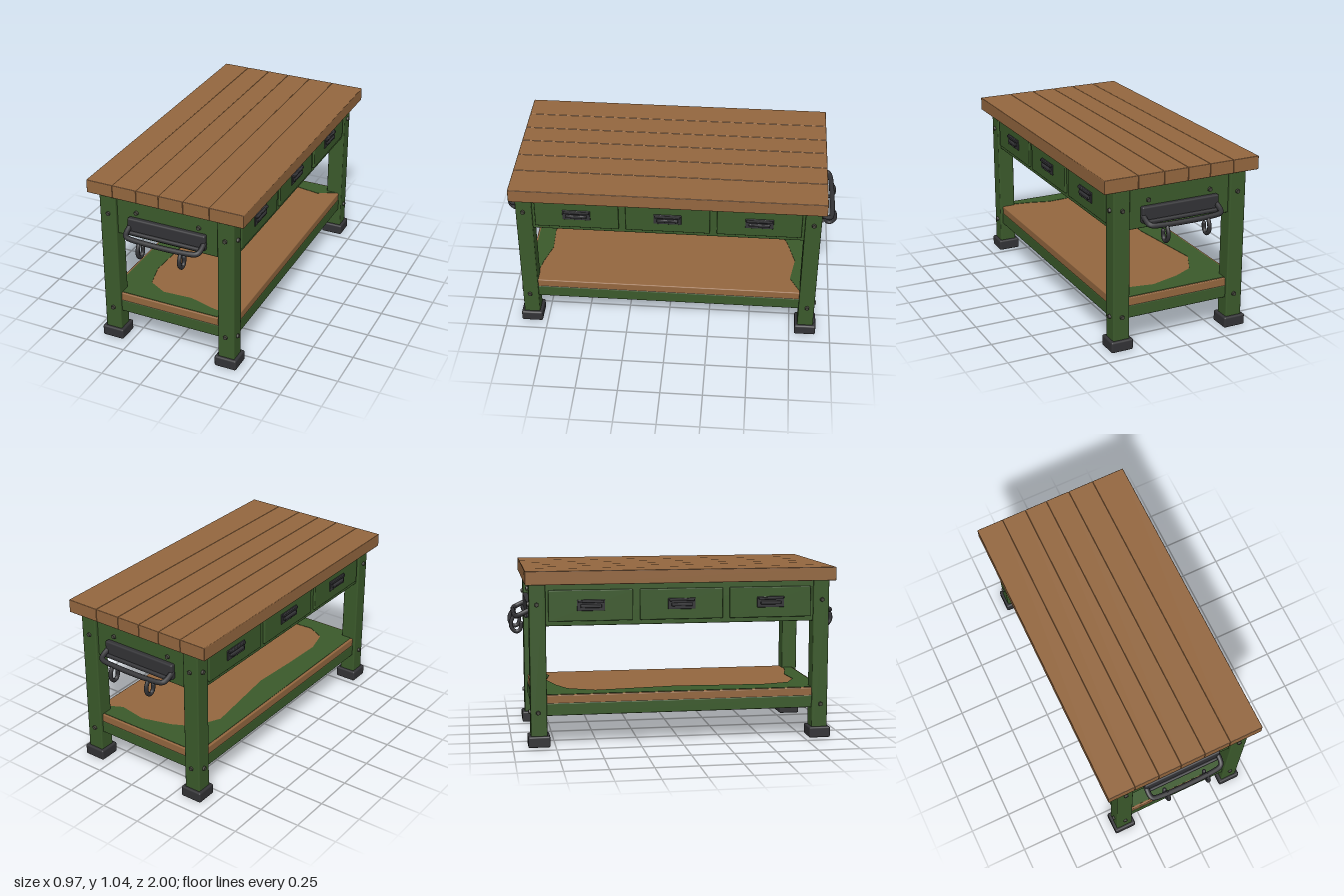
import * as THREE from 'three';
import { RoundedBoxGeometry } from 'three/addons/geometries/RoundedBoxGeometry.js';

const material = (name, color) => {
  const m = new THREE.MeshStandardMaterial({ color });
  m.name = name;
  return m;
};

export function createModel() {
  const wood = material('wood', 0x94673f);
  const paint = material('green paint', 0x3b5a2b);
  const metal = material('dark metal', 0x333336);
  const boltMetal = material('bolt metal', 0x45463c);

  const model = new THREE.Group();
  model.name = 'workbench';

  const add = (parent, name, geometry, mat) => {
    const mesh = new THREE.Mesh(geometry, mat);
    mesh.name = name;
    parent.add(mesh);
    return mesh;
  };
  // Box given by its min and max corners, with softened edges
  const box = (parent, name, mat, [x0, y0, z0], [x1, y1, z1], r = 0.006) => {
    const mesh = add(parent, name, new RoundedBoxGeometry(x1 - x0, y1 - y0, z1 - z0, 2, r), mat);
    mesh.position.set((x0 + x1) / 2, (y0 + y1) / 2, (z0 + z1) / 2);
    return mesh;
  };
  const group = (name, turn = 0) => {
    const g = new THREE.Group();
    g.name = name;
    g.rotation.y = turn;
    model.add(g);
    return g;
  };
  // Hexagonal bolt head facing +z
  const bolt = (parent, x, y, z) => {
    const mesh = add(parent, 'bolt', new THREE.CylinderGeometry(0.012, 0.015, 0.016, 6), boltMetal);
    mesh.rotation.x = Math.PI / 2;
    mesh.position.set(x, y, z);
  };
  const tube = (parent, name, points, radius, segments) =>
    add(parent, name, new THREE.TubeGeometry(
      new THREE.CatmullRomCurve3(points.map((p) => new THREE.Vector3(...p)), false, 'centripetal'),
      segments, radius, 10), metal);

  // Table top from planks laid side by side
  const top = group('tableTop');
  const seams = [-0.485, -0.32, -0.17, -0.03, 0.12, 0.28, 0.485];
  for (let i = 0; i < seams.length - 1; i++) {
    box(top, 'topPlank', wood, [seams[i], 0.96, -0.918], [seams[i + 1], 1.04, 0.916], 0.004);
  }

  // Legs with metal feet
  for (const sx of [-1, 1]) for (const sz of [-1, 1]) {
    const leg = group('leg');
    leg.position.set(sx * 0.368, 0, sz * 0.846);
    box(leg, 'legPost', paint, [-0.051, 0.05, -0.048], [0.051, 0.965, 0.048], 0.008);
    box(leg, 'foot', metal, [-0.068, 0, -0.065], [0.068, 0.066, 0.065], 0.01);
  }

  // Drawer case and lower shelf
  box(model, 'drawerCase', paint, [-0.402, 0.712, -0.872], [0.402, 0.962, 0.872]);
  box(model, 'shelfBoard', wood, [-0.4, 0.25, -0.872], [0.4, 0.304, 0.872]);
  for (const s of [-1, 1]) {
    box(model, 'sideRail', paint, [s * 0.375 - 0.028, 0.182, -0.85], [s * 0.375 + 0.028, 0.257, 0.85]);
    box(model, 'endRail', paint, [-0.36, 0.182, s * 0.847 - 0.028], [0.36, 0.257, s * 0.847 + 0.028]);
  }

  // Worn paint left along one long edge and both ends of the shelf
  const outline = [
    [-0.385, -0.86], [0.385, -0.86], [0.385, -0.8], [0.27, -0.74], [0.1, -0.77], [-0.08, -0.72],
    [-0.2, -0.66], [-0.28, -0.5], [-0.25, -0.25], [-0.22, 0], [-0.24, 0.3], [-0.25, 0.55],
    [-0.21, 0.7], [-0.1, 0.76], [0.08, 0.75], [0.22, 0.79], [0.385, 0.82], [0.385, 0.86], [-0.385, 0.86],
  ];
  const patch = new THREE.Shape(outline.map(([x, z]) => new THREE.Vector2(x, -z)));
  const wornPaint = add(model, 'shelfPaint',
    new THREE.ExtrudeGeometry(patch, { depth: 0.003, bevelEnabled: false }), paint);
  wornPaint.rotation.x = -Math.PI / 2;
  wornPaint.position.y = 0.3035;

  // Long sides: three drawers each, modelled facing +z and turned to face +x or -x
  for (const s of [-1, 1]) {
    const side = group('drawerSide', s * Math.PI / 2);
    for (const cx of [-0.535, 0, 0.535]) {
      box(side, 'drawerFront', paint, [cx - 0.247, 0.74, 0.39], [cx + 0.247, 0.922, 0.415]);
      // Pull: rim, hood and grip bar
      box(side, 'pullPlate', metal, [cx - 0.082, 0.8, 0.41], [cx + 0.082, 0.865, 0.421], 0.004);
      box(side, 'pullHood', metal, [cx - 0.075, 0.848, 0.415], [cx + 0.075, 0.863, 0.433], 0.004);
      box(side, 'pullGrip', metal, [cx - 0.062, 0.818, 0.415], [cx + 0.062, 0.838, 0.432], 0.005);
    }
    for (const x of [-0.85, 0.85]) for (const y of [0.205, 0.84]) bolt(side, x, y, 0.423);
  }

  // Ends: rack with a bar and two hooks, modelled facing +z
  for (const turn of [0, Math.PI]) {
    const end = group('rackEnd', turn);
    for (const s of [-1, 1]) {
      bolt(end, s * 0.365, 0.84, 0.897);
      bolt(end, s * 0.365, 0.205, 0.897);
      bolt(end, s * 0.195, 0.872, 0.876);
    }
    box(end, 'rackPlate', metal, [-0.243, 0.745, 0.865], [0.243, 0.842, 0.9], 0.01);
    box(end, 'rackLip', metal, [-0.235, 0.742, 0.87], [0.235, 0.766, 0.915], 0.01);
    tube(end, 'rackBar', [
      [-0.232, 0.79, 0.88], [-0.232, 0.766, 0.93], [-0.225, 0.757, 0.95], [-0.205, 0.752, 0.96],
      [0.205, 0.752, 0.96], [0.225, 0.757, 0.95], [0.232, 0.766, 0.93], [0.232, 0.79, 0.88],
    ], 0.0155, 80);
    for (const x of [-0.13, 0.13]) {
      tube(end, 'hook', [
        [x, 0.757, 0.955], [x, 0.735, 0.975], [x, 0.705, 0.988], [x, 0.675, 0.986], [x, 0.654, 0.97],
        [x, 0.648, 0.955], [x, 0.656, 0.938], [x, 0.675, 0.929], [x, 0.7, 0.928],
      ], 0.012, 32);
      const tip = add(end, 'hookTip', new THREE.SphereGeometry(0.012, 10, 8), metal);
      tip.position.set(x, 0.7, 0.928);
    }
  }
  return model;
}
